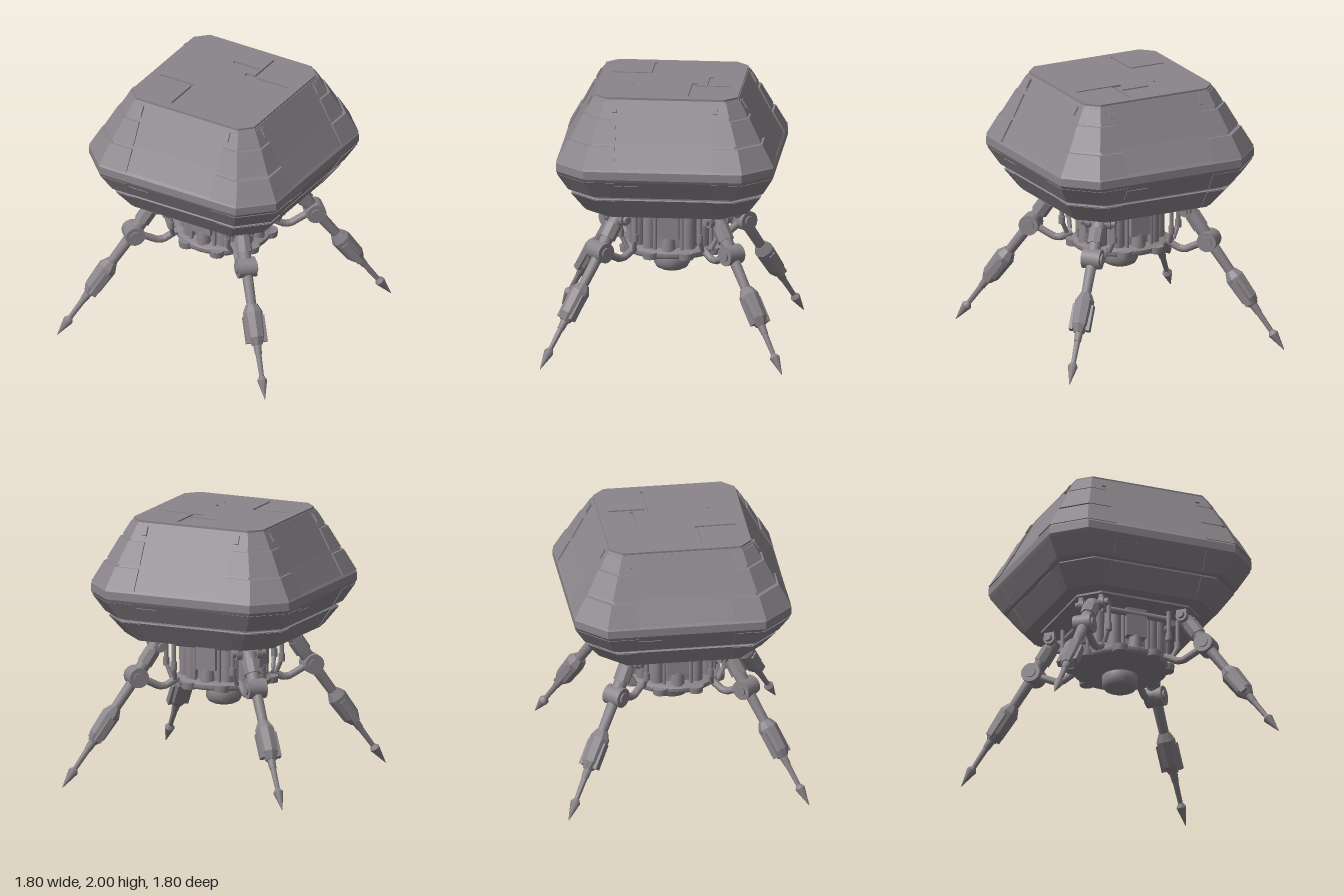
import * as THREE from 'three';
import { toCreasedNormals } from 'three/addons/utils/BufferGeometryUtils.js';

const hullGrey = new THREE.MeshStandardMaterial({ color: 0x8a858a });
hullGrey.name = 'hullGrey';

const V = (x, y, z) => new THREE.Vector3(x, y, z);

function add(parent, name, geometry, x = 0, y = 0, z = 0) {
  const mesh = new THREE.Mesh(geometry, hullGrey);
  mesh.name = name;
  mesh.position.set(x, y, z);
  parent.add(mesh);
  return mesh;
}

// Closed solid through convex rings of [x, z] points, listed from bottom to top
function loft(sections) {
  const pos = [];
  const n = sections[0].ring.length;
  const put = (s, i) => pos.push(s.ring[i % n][0], s.y, s.ring[i % n][1]);
  for (let k = 0; k + 1 < sections.length; k++) {
    const a = sections[k], b = sections[k + 1];
    for (let i = 0; i < n; i++) {
      put(a, i); put(b, i); put(b, i + 1);
      put(a, i); put(b, i + 1); put(a, i + 1);
    }
  }
  const low = sections[0], high = sections[sections.length - 1];
  for (let i = 1; i + 1 < n; i++) {
    put(low, 0); put(low, i); put(low, i + 1);
    put(high, 0); put(high, i + 1); put(high, i);
  }
  const g = new THREE.BufferGeometry();
  g.setAttribute('position', new THREE.Float32BufferAttribute(pos, 3));
  g.computeVertexNormals();
  return g;
}

// Square of half width h with corners cut by c
const octagon = (h, c) => [
  [h, -h + c], [h, h - c], [h - c, h], [-h + c, h],
  [-h, h - c], [-h, -h + c], [-h + c, -h], [h - c, -h],
];

// Corner part of the same outline, reaching in to distance e from the centre lines
const corner = (h, c, e) => [[e, e], [h, e], [h, h - c], [h - c, h], [e, h]];

// Tapered rod between two points
function rod(parent, name, a, b, r0, r1 = r0, sides = 12) {
  const d = b.clone().sub(a);
  const mesh = add(parent, name, toCreasedNormals(new THREE.CylinderGeometry(r1, r0, d.length(), sides), 0.7));
  mesh.position.copy(a).add(b).multiplyScalar(0.5);
  mesh.quaternion.setFromUnitVectors(V(0, 1, 0), d.normalize());
  return mesh;
}

function pipe(parent, name, points, r) {
  const path = new THREE.CurvePath();
  for (let i = 0; i + 1 < points.length; i++) path.add(new THREE.LineCurve3(points[i], points[i + 1]));
  return add(parent, name, new THREE.TubeGeometry(path, 24, r, 8));
}

function buildHull(root) {
  const hull = new THREE.Group();
  hull.name = 'hull';
  root.add(hull);
  const profile = [
    [1.10, 0.595, 0.18], [1.255, 0.70, 0.20], [1.262, 0.688, 0.20], [1.272, 0.688, 0.20],
    [1.28, 0.715, 0.20], [1.42, 0.80, 0.22], [1.44, 0.81, 0.22], [1.50, 0.81, 0.22],
    [1.52, 0.795, 0.21], [1.70, 0.69, 0.17], [1.985, 0.535, 0.09],
  ];
  add(hull, 'hullShell', loft(profile.map(([y, h, c]) => ({ y, ring: octagon(h, c) }))));

  // Armour bands wrapped round each corner: y0, h0, c0, y1, h1, c1
  const bands = [
    [1.115, 0.61, 0.18, 1.25, 0.705, 0.2],
    [1.285, 0.725, 0.2, 1.415, 0.803, 0.22],
    [1.515, 0.808, 0.215, 1.672, 0.722, 0.17],
    [1.692, 0.705, 0.165, 1.855, 0.62, 0.13],
    [1.875, 0.601, 0.12, 1.97, 0.548, 0.095],
  ];
  const slope = Math.atan2(0.27, 0.48);
  for (let k = 0; k < 4; k++) {
    const g = new THREE.Group();
    g.name = 'hullCorner';
    g.rotation.y = k * Math.PI / 2;
    hull.add(g);
    for (const [y0, h0, c0, y1, h1, c1] of bands) {
      add(g, 'cornerArmour', loft([{ y: y0, ring: corner(h0, c0, 0.36) }, { y: y1, ring: corner(h1, c1, 0.36) }]));
    }
    // Small latches near the roof and shallow panels on the lower flank
    for (const s of [-1, 1]) {
      const latch = add(g, 'roofLatch', new THREE.BoxGeometry(0.035, 0.07, 0.025), s * 0.375, 1.93, 0.57);
      latch.rotation.x = -slope;
    }
    const panel = add(g, 'flankPanel', new THREE.BoxGeometry(0.17, 0.09, 0.008), -0.27, 1.35, 0.758);
    panel.rotation.x = Math.atan2(0.085, 0.14);
  }

  // Roof slab with channels cut through it
  const outline = (pts) => pts.map(([x, z]) => new THREE.Vector2(x, -z));
  const roof = new THREE.Shape(outline(octagon(0.53, 0.09)));
  const w = 0.02;
  for (const [s, z] of [[-1, 0.18], [1, 0.165]]) {
    const cuts = [
      [[-0.45, z], [-0.18, z], [-0.18, 0.46], [-0.16, 0.46], [-0.16, z - w], [-0.45, z - w]],
      [[0.08, z - w], [0.45, z - w], [0.45, z], [0.17, z], [0.17, 0.46], [0.15, 0.46], [0.15, z + w], [0.08, z + w]],
      [[-0.09, 0.275], [0.135, 0.275], [0.135, 0.3], [-0.09, 0.3]],
    ];
    for (const cut of cuts) roof.holes.push(new THREE.Path(outline(cut.map(([x, v]) => [x, s * v]))));
  }
  const slab = new THREE.ExtrudeGeometry(roof, { depth: 0.017, bevelEnabled: false });
  slab.rotateX(-Math.PI / 2);
  add(hull, 'roofSlab', slab, 0, 1.983, 0);
  add(hull, 'bellyPlate', loft([{ y: 1.085, ring: octagon(0.49, 0.14) }, { y: 1.105, ring: octagon(0.49, 0.14) }]));
}

function buildCore(root) {
  const core = new THREE.Group();
  core.name = 'core';
  root.add(core);
  add(core, 'coreDrum', toCreasedNormals(new THREE.CylinderGeometry(0.26, 0.27, 0.36, 16), 0.3), 0, 0.93, 0);

  const turned = (name, pts) => add(core, name,
    toCreasedNormals(new THREE.LatheGeometry(pts.map(([r, y]) => new THREE.Vector2(r, y)), 32), 0.6));
  turned('platform', [[0, 0.655], [0.1, 0.66], [0.22, 0.69], [0.35, 0.715], [0.36, 0.73], [0.36, 0.755], [0.33, 0.775], [0, 0.775]]);
  turned('sensorPod', [[0, 0.55], [0.08, 0.553], [0.115, 0.57], [0.135, 0.605], [0.135, 0.66], [0.12, 0.69], [0.08, 0.705], [0, 0.705]]);

  for (let k = 0; k < 8; k++) {
    const a = (k + 0.5) * Math.PI / 4;
    add(core, 'platformLug', toCreasedNormals(new THREE.CylinderGeometry(0.06, 0.055, 0.05, 12), 0.6),
      Math.cos(a) * 0.345, 0.735, Math.sin(a) * 0.345);
  }
  // Columns, tanks and cross bars on each side of the drum
  for (let k = 0; k < 4; k++) {
    const g = new THREE.Group();
    g.name = 'coreSide';
    g.rotation.y = k * Math.PI / 2;
    core.add(g);
    add(g, 'sideColumn', new THREE.BoxGeometry(0.16, 0.24, 0.12), 0, 0.98, 0.27);
    add(g, 'columnFoot', toCreasedNormals(new THREE.CylinderGeometry(0.045, 0.055, 0.11, 12), 0.6), 0, 0.815, 0.29);
    rod(g, 'crossBar', V(-0.27, 1.045, 0.31), V(0.27, 1.045, 0.31), 0.025);
    for (const s of [-1, 1]) {
      rod(g, 'sideTank', V(s * 0.145, 0.775, 0.24), V(s * 0.145, 1.09, 0.24), 0.05);
      rod(g, 'sidePipe', V(s * 0.1, 0.77, 0.3), V(s * 0.1, 1.04, 0.3), 0.014);
    }
  }
}

// One leg, reaching out along its own +x
function buildLeg(root, angle) {
  const leg = new THREE.Group();
  leg.name = 'leg';
  leg.rotation.y = angle;
  root.add(leg);
  const hip = V(0.53, 1.035, 0), knee = V(0.69, 0.8, 0), foot = V(1.272, 0, 0);
  const at = (t) => knee.clone().lerp(foot, t);

  rod(leg, 'hipAxle', hip.clone().setZ(-0.13), hip.clone().setZ(0.13), 0.028);
  for (const s of [-1, 1]) {
    rod(leg, 'hipBush', V(0.53, 1.035, s * 0.06), V(0.53, 1.035, s * 0.1), 0.045);
    add(leg, 'hipBracket', new THREE.BoxGeometry(0.08, 0.09, 0.03), 0.53, 1.06, s * 0.08);
    pipe(leg, 'braceRod', [V(0.425, 1.1, s * 0.085), V(0.425, 0.87, s * 0.085), V(0.4, 0.77, s * 0.04)], 0.017);
    rod(leg, 'braceCollar', V(0.425, 0.85, s * 0.085), V(0.425, 0.91, s * 0.085), 0.024);
  }
  rod(leg, 'thigh', hip, knee, 0.055, 0.048);
  rod(leg, 'thighSleeve', hip.clone().lerp(knee, 0.2), hip.clone().lerp(knee, 0.6), 0.063, 0.063, 8);
  rod(leg, 'kneeJoint', V(0.69, 0.8, -0.07), V(0.69, 0.8, 0.07), 0.075, 0.075, 20);
  rod(leg, 'kneeCap', V(0.69, 0.8, -0.082), V(0.69, 0.8, 0.082), 0.042, 0.042, 16);
  pipe(leg, 'lowerArm', [V(0.36, 0.77, 0), V(0.46, 0.715, 0), V(0.51, 0.715, 0), V(0.66, 0.79, 0)], 0.028);

  // Shin, actuator housing and spiked foot
  rod(leg, 'shin', at(0.02), at(0.34), 0.042, 0.036);
  rod(leg, 'housingTop', at(0.28), at(0.34), 0.045, 0.075, 8);
  rod(leg, 'housing', at(0.34), at(0.53), 0.075, 0.068, 8);
  rod(leg, 'housingEnd', at(0.53), at(0.59), 0.068, 0.04, 8);
  const slope = Math.atan2(foot.x - knee.x, knee.y - foot.y);
  for (const s of [-1, 1]) {
    const p = at(0.47);
    const rail = add(leg, 'housingRail', new THREE.BoxGeometry(0.05, 0.2, 0.03), p.x, p.y, s * 0.065);
    rail.rotation.z = slope;
  }
  rod(leg, 'ankleCollar', at(0.58), at(0.66), 0.032, 0.026);
  rod(leg, 'ankle', at(0.6), at(0.86), 0.024, 0.017);
  rod(leg, 'spikeCollar', at(0.825), at(0.855), 0.018, 0.038);
  rod(leg, 'spike', at(0.855), foot, 0.038, 0.002);
}

export function createModel() {
  const root = new THREE.Group();
  root.name = 'walkerPod';
  buildHull(root);
  buildCore(root);
  for (let k = 0; k < 4; k++) buildLeg(root, Math.PI / 4 + k * Math.PI / 2);
  return root;
}
